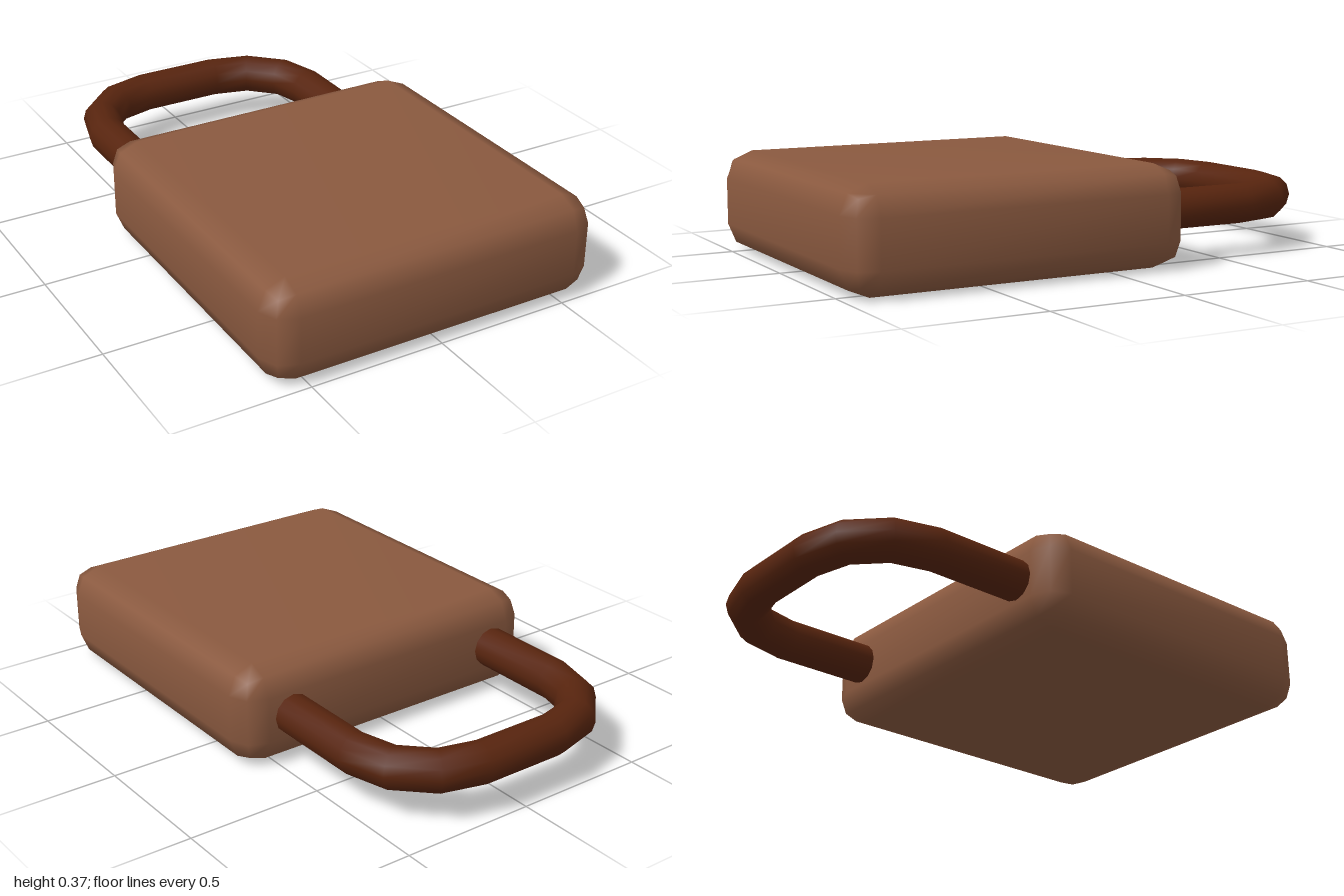
import * as THREE from 'three';
import { mergeVertices } from 'three/addons/utils/BufferGeometryUtils.js';
import { RoundedBoxGeometry } from 'three/addons/geometries/RoundedBoxGeometry.js';

const MID_Y = 0.185;

// Chunky bevelled block with normals averaged over the whole surface
function bodyGeometry() {
  const box = new RoundedBoxGeometry(1.28, 0.37, 1.28, 1, 0.1);
  box.deleteAttribute('normal');
  box.deleteAttribute('uv');
  const geometry = mergeVertices(box, 1e-4);
  geometry.computeVertexNormals();
  return geometry;
}

// Round bar swept along a U: straight legs, three-step bends, straight top
function shackleGeometry() {
  const radius = 0.0745, sides = 12, bend = 0.297;
  const cornerX = 0.155, cornerZ = -0.63, legZ = -0.15;

  // Each station: centre x, centre z, and the angle its outward side faces
  const half = [[-cornerX - bend, legZ, 0]];
  const facing = [7.5, 30, 60, 82.5];
  facing.forEach((deg, i) => {
    const a = (i * Math.PI) / 6;
    half.push([
      -cornerX - bend * Math.cos(a),
      cornerZ - bend * Math.sin(a),
      THREE.MathUtils.degToRad(deg),
    ]);
  });
  const mirrored = half.map(([x, z, a]) => [-x, z, Math.PI - a]).reverse();
  const stations = [...half, ...mirrored];

  const positions = [], index = [];
  stations.forEach(([x, z, a], i) => {
    for (let j = 0; j < sides; j++) {
      const t = (j / sides) * Math.PI * 2;
      const out = radius * Math.cos(t);
      positions.push(x - out * Math.cos(a), radius * Math.sin(t), z - out * Math.sin(a));
      if (i === stations.length - 1) continue;
      const p = i * sides + j, q = i * sides + ((j + 1) % sides);
      index.push(p, q, p + sides, q, q + sides, p + sides);
    }
  });
  const geometry = new THREE.BufferGeometry();
  geometry.setAttribute('position', new THREE.Float32BufferAttribute(positions, 3));
  geometry.setIndex(index);
  geometry.computeVertexNormals();
  return geometry;
}

export function createModel() {
  const bodyBrown = new THREE.MeshStandardMaterial({ color: 0x8a593f });
  bodyBrown.name = 'bodyBrown';
  const shackleBrown = new THREE.MeshStandardMaterial({ color: 0x57240e });
  shackleBrown.name = 'shackleBrown';

  const model = new THREE.Group();
  model.name = 'padlock';

  const body = new THREE.Mesh(bodyGeometry(), bodyBrown);
  body.name = 'body';
  body.position.set(0, MID_Y, 0.36);

  // The shackle sits slightly off centre
  const shackle = new THREE.Mesh(shackleGeometry(), shackleBrown);
  shackle.name = 'shackle';
  shackle.position.set(-0.013, MID_Y, 0);

  model.add(body, shackle);
  return model;
}
